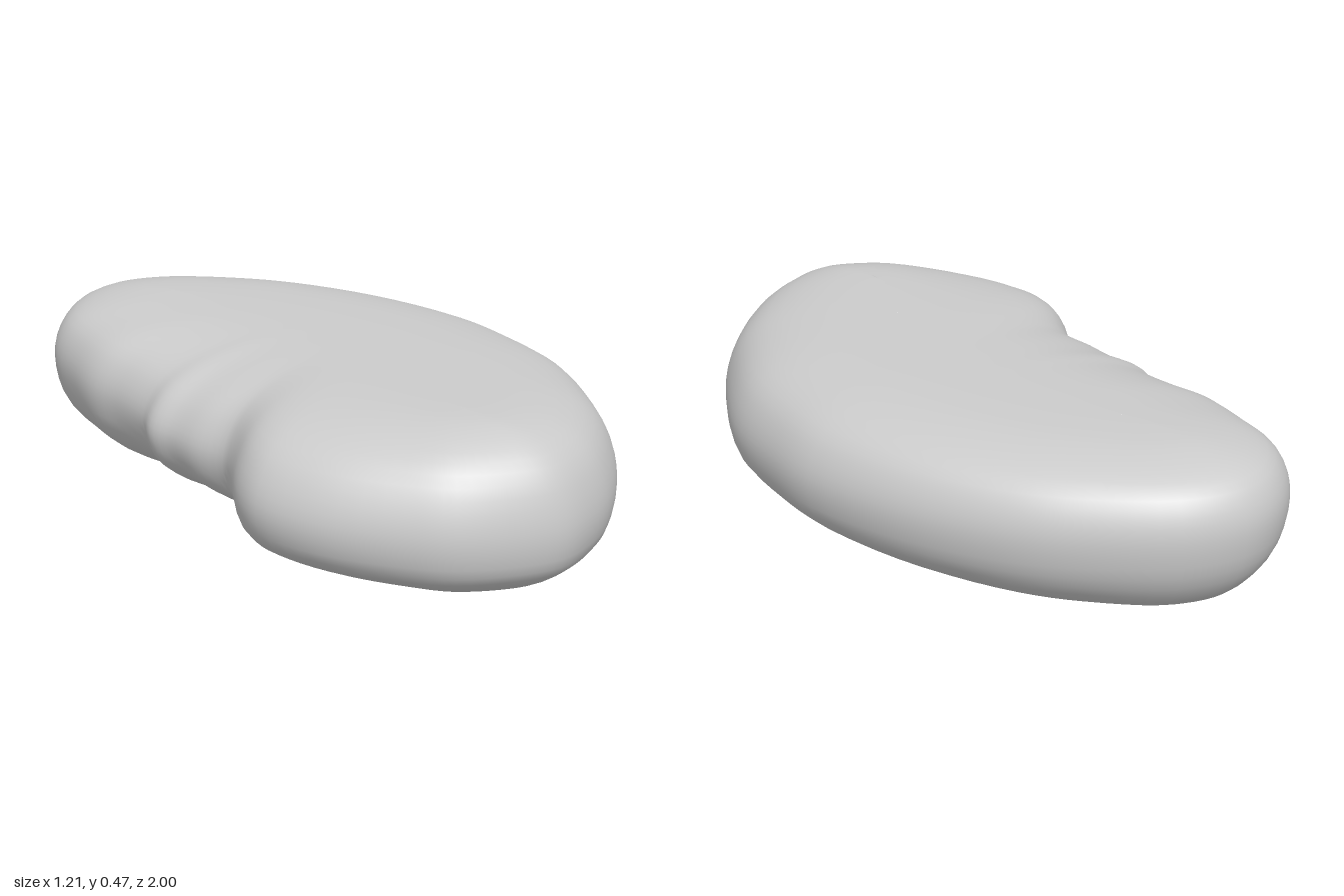
import * as THREE from 'three';

// Plan outline of the bean (x, z), starting at the back end and passing the +x side
const OUTLINE = [
  [-0.12, -1], [0.05, -0.945], [0.25, -0.78], [0.38, -0.62], [0.52, -0.34], [0.6, -0.02],
  [0.595, 0.2], [0.56, 0.42], [0.46, 0.63], [0.36, 0.78], [0.2, 0.92], [0.07, 0.98],
  [-0.04, 1], [-0.16, 0.97], [-0.32, 0.89], [-0.42, 0.79], [-0.55, 0.6], [-0.605, 0.42],
  [-0.585, 0.31], [-0.51, 0.18], [-0.485, 0.11], [-0.505, 0], [-0.51, -0.1], [-0.525, -0.18],
  [-0.495, -0.26], [-0.485, -0.4], [-0.495, -0.53], [-0.47, -0.67], [-0.43, -0.82],
  [-0.35, -0.92], [-0.24, -0.985],
];

// Rounded section: distance from the spine (0 to 1) against height, top to bottom
const SECTION = [
  [0, 0.477], [0.25, 0.475], [0.5, 0.466], [0.75, 0.435], [0.9, 0.385], [0.98, 0.31],
  [1, 0.24], [0.96, 0.15], [0.82, 0.075], [0.62, 0.028], [0.3, 0.006], [0, 0.002],
];

const AROUND = 124;
const RINGS = 30;

// Curved spine running along the middle of the bean
const spineX = (z) => 0.08 - 0.18 * z * z;

function beanGeometry() {
  const outline = new THREE.CatmullRomCurve3(
    OUTLINE.map(([x, z]) => new THREE.Vector3(x, 0, z)), true, 'centripetal');
  const section = new THREE.CatmullRomCurve3(
    SECTION.map(([s, y]) => new THREE.Vector3(s, y, 0)), false, 'centripetal');
  const positions = [];
  const index = [];

  for (let i = 0; i <= RINGS; i++) {
    const { x: s, y: h } = section.getPoint(i / RINGS);
    for (let j = 0; j < AROUND; j++) {
      const p = outline.getPoint(j / AROUND);
      const sx = spineX(p.z);
      const sz = 0.6 * p.z;
      // The section thins towards the notch on the -x side
      const notch = p.x < 0 ? Math.exp(-(((p.z + 0.12) / 0.24) ** 2)) : 0;
      const thin = 1 - 0.22 * notch * s ** 3;
      // The rim sits a little higher at the back end than at the front
      const y = 0.24 + (h - 0.24) * thin - 0.04 * p.z * s ** 6;
      positions.push(sx + (p.x - sx) * s, y, sz + (p.z - sz) * s);
    }
  }

  for (let i = 0; i < RINGS; i++) {
    for (let j = 0; j < AROUND; j++) {
      const k = (j + 1) % AROUND;
      const a = i * AROUND + j, b = i * AROUND + k;
      const c = a + AROUND, d = b + AROUND;
      index.push(a, b, c, b, d, c);
    }
  }

  const geometry = new THREE.BufferGeometry();
  geometry.setAttribute('position', new THREE.Float32BufferAttribute(positions, 3));
  geometry.setIndex(index);
  geometry.computeVertexNormals();
  // The first and last rings lie flat along the spine
  const normals = geometry.attributes.normal;
  for (let j = 0; j < AROUND; j++) {
    normals.setXYZ(j, 0, 1, 0);
    normals.setXYZ(RINGS * AROUND + j, 0, -1, 0);
  }
  return geometry;
}

export function createModel() {
  const group = new THREE.Group();
  group.name = 'bean';
  const body = new THREE.Mesh(
    beanGeometry(), new THREE.MeshStandardMaterial({ color: 0xcccccc }));
  body.name = 'beanBody';
  group.add(body);
  return group;
}
